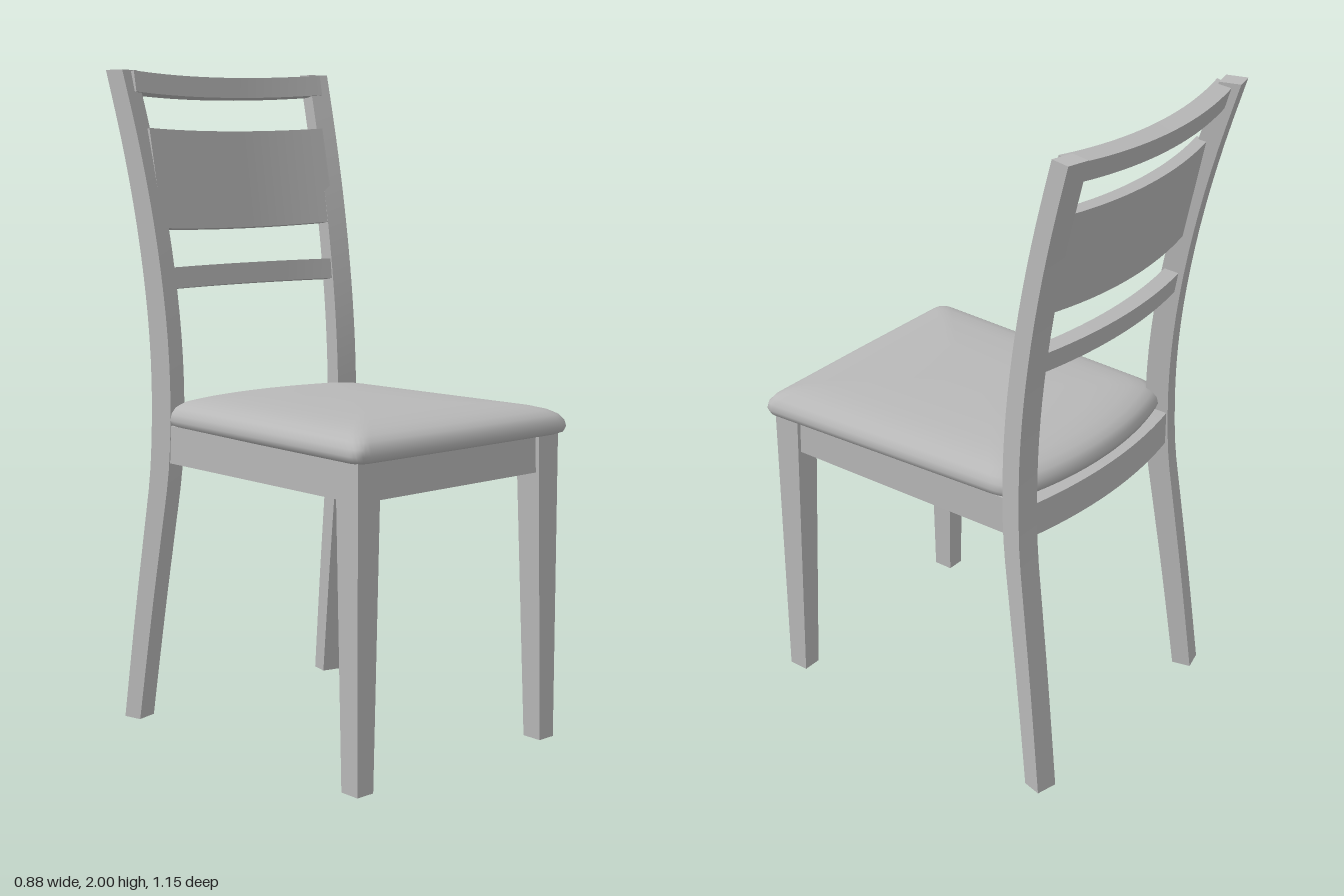
import * as THREE from 'three';
import { toCreasedNormals } from 'three/addons/utils/BufferGeometryUtils.js';

const grey = new THREE.MeshStandardMaterial({ color: 0xb8b8b8 });
grey.name = 'plain grey';

const { lerp } = THREE.MathUtils;

// A unit box, split along one axis, with every corner moved by a rule
function shapedBox(name, segX, segY, rule) {
  const geo = new THREE.BoxGeometry(1, 1, 1, segX, segY, 1);
  const p = geo.attributes.position;
  for (let i = 0; i < p.count; i++) p.setXYZ(i, ...rule(p.getX(i), p.getY(i), p.getZ(i)));
  geo.computeVertexNormals();
  const mesh = new THREE.Mesh(geo, grey);
  mesh.name = name;
  return mesh;
}

// Front leg: straight outer faces, inner faces tapering to the foot
function frontLeg(name, s) {
  return shapedBox(name, 1, 1, (x, y, z) => {
    const t = y + 0.5;
    const px = x * s > 0 ? 0.405 : lerp(0.345, 0.32, t);
    const pz = z > 0 ? 0.545 : lerp(0.48, 0.455, t);
    return [s * px, t * 0.935, pz];
  });
}

// Back post: leg and back upright in one curved piece, turned towards the middle
const postFront = new THREE.SplineCurve(
  [-0.43, -0.403, -0.375, -0.345, -0.317, -0.31, -0.32, -0.345, -0.382, -0.43, -0.487]
    .map((z, i) => new THREE.Vector2(z, i * 0.2)));
function backPost(name, s) {
  const sin = Math.sin(0.244), cos = Math.cos(0.244);
  return shapedBox(name, 1, 30, (x, y, z) => {
    const c = postFront.getPoint(y + 0.5);
    const depth = c.y < 0.9 ? lerp(0.06, 0.073, c.y / 0.9) : lerp(0.073, 0.064, (c.y - 0.9) / 1.1);
    const back = (-0.312 - c.x) / cos + (z < 0 ? depth : 0);
    const across = x * s * 0.067;
    const px = 0.355 + across * cos + back * sin + 0.007 - 0.0125 * c.y;
    return [s * px, c.y, -0.32 + across * sin - back * cos];
  });
}

// Curved crosspiece: section corners are [z, y], ends bow forward to the posts
function curvedRail(name, half, frontTop, backTop, frontBottom, backBottom, rise = 0) {
  const R = 1.6;
  return shapedBox(name, 20, 1, (x, y, z) => {
    const px = x * 2 * half;
    const bow = R - Math.sqrt(R * R - px * px);
    const c = y > 0 ? (z > 0 ? frontTop : backTop) : (z > 0 ? frontBottom : backBottom);
    return [px, c[1] + rise * bow, c[0] + bow];
  });
}

// Side apron between front leg and back post
function sideApron(name, s) {
  return shapedBox(name, 1, 1, (x, y, z) => [
    s * ((z > 0 ? 0.393 : 0.38) + (x * s > 0 ? 0 : -0.045)),
    y > 0 ? 0.935 : 0.82,
    z > 0 ? 0.48 : -0.35,
  ]);
}

// Padded seat: rings of one outline, drawn in and raised to a soft dome
function seat() {
  const o = new THREE.Shape();
  o.moveTo(0, 0.576);
  o.lineTo(0.385, 0.574);
  o.quadraticCurveTo(0.433, 0.574, 0.43, 0.53);
  o.lineTo(0.39, -0.27);
  o.quadraticCurveTo(0.387, -0.34, 0.33, -0.365);
  o.quadraticCurveTo(0.17, -0.412, 0, -0.412);
  const half = o.getPoints(10);
  const outline = [...half, ...half.slice(1, -1).reverse().map(p => new THREE.Vector2(-p.x, p.y))];
  const rings = [[0.49, 0.93], [0.022, 0.93], [0.006, 0.937], [0, 0.953], [0.004, 0.972], [0.017, 0.989],
    [0.04, 1.002], [0.075, 1.012], [0.13, 1.02], [0.25, 1.025], [0.49, 1.027]];
  const pos = [], index = [], n = outline.length, cz = 0.08;
  for (const [inset, y] of rings) {
    const k = inset > 0.4 ? 0 : 1;
    for (const p of outline)
      pos.push(k * p.x * (1 - inset / 0.42), y, cz + k * (p.y - cz) * (1 - inset / 0.49));
  }
  for (let r = 0; r < rings.length - 1; r++)
    for (let i = 0; i < n; i++) {
      const a = r * n + i, b = r * n + (i + 1) % n;
      if (r > 0) index.push(a, b, a + n);
      if (r < rings.length - 2) index.push(b, b + n, a + n);
    }
  const geo = new THREE.BufferGeometry();
  geo.setAttribute('position', new THREE.Float32BufferAttribute(pos, 3));
  geo.setIndex(index);
  const mesh = new THREE.Mesh(toCreasedNormals(geo, 0.9), grey);
  mesh.name = 'seat';
  return mesh;
}

export function createModel() {
  const chair = new THREE.Group();
  chair.name = 'diningChair';

  // Legs, posts and side aprons, mirrored
  for (const [side, s] of [['left', 1], ['right', -1]])
    chair.add(frontLeg(side + 'FrontLeg', s), backPost(side + 'BackPost', s), sideApron(side + 'Apron', s));

  // Front apron
  const apron = new THREE.Mesh(new THREE.BoxGeometry(0.68, 0.115, 0.045), grey);
  apron.name = 'frontApron';
  apron.position.set(0, 0.8775, 0.51);
  chair.add(apron);

  // Crosspieces of the back, from the top down
  chair.add(
    curvedRail('topRail', 0.375, [-0.525, 1.985], [-0.579, 1.974], [-0.513, 1.922], [-0.562, 1.914], 0.3),
    curvedRail('backPanel', 0.35, [-0.478, 1.817], [-0.513, 1.81], [-0.418, 1.518], [-0.455, 1.512], 0.25),
    curvedRail('lowerRail', 0.345, [-0.402, 1.408], [-0.447, 1.4], [-0.393, 1.345], [-0.437, 1.338]),
    curvedRail('backApron', 0.345, [-0.385, 0.932], [-0.428, 0.925], [-0.385, 0.82], [-0.428, 0.82]),
  );

  chair.add(seat());
  return chair;
}
